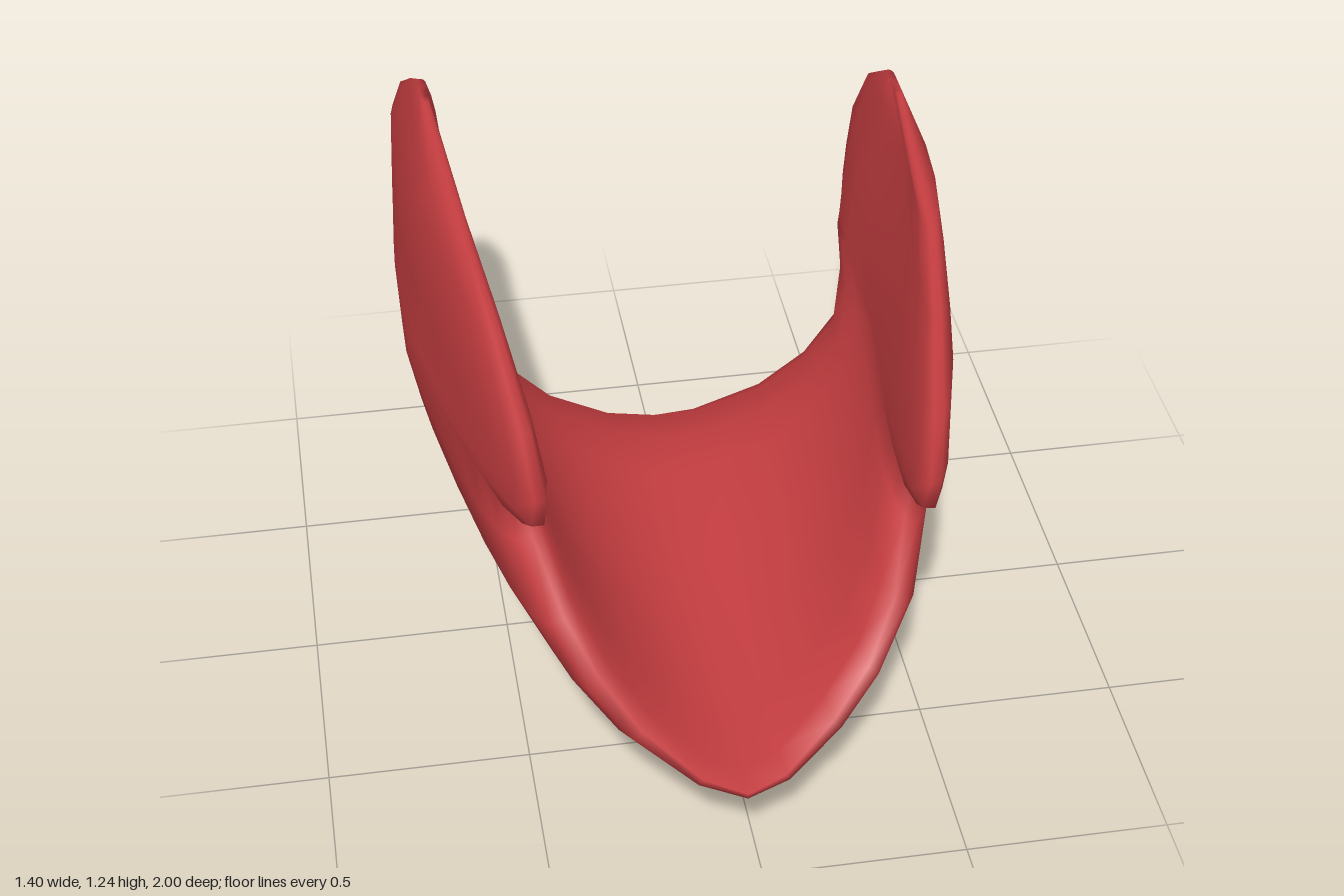
import * as THREE from 'three';

// piecewise-linear lookup in a short list of [key, value] pairs
function lookup(points, k) {
  if (k <= points[0][0]) return points[0][1];
  for (let i = 1; i < points.length; i++) {
    const [k0, v0] = points[i - 1], [k1, v1] = points[i];
    if (k <= k1) return v0 + (v1 - v0) * (k - k0) / (k1 - k0);
  }
  return points[points.length - 1][1];
}

// strips of half the shell, keel to wing top: outer x, y, inner x, y, back z, front z
const STRIPS = [
  [0.00, 0.01, 0.00, 0.24, -0.61, 1.00],
  [0.18, 0.05, 0.12, 0.25, -0.62, 0.95],
  [0.40, 0.17, 0.28, 0.33, -0.60, 0.84],
  [0.54, 0.30, 0.39, 0.44, -0.59, 0.76],
  [0.64, 0.44, 0.47, 0.55, -0.62, 0.64],
  [0.68, 0.58, 0.51, 0.65, -0.75, 0.45],
  [0.69, 0.68, 0.525, 0.70, -0.88, 0.27],
  [0.69, 0.715, 0.53, 0.73, -0.92, 0.52],
  [0.69, 0.77, 0.535, 0.78, -0.95, 0.60],
  [0.69, 0.86, 0.545, 0.86, -0.98, 0.62],
  [0.69, 0.97, 0.56, 0.96, -1.00, 0.50],
  [0.67, 1.07, 0.58, 1.07, -0.94, 0.26],
  [0.65, 1.15, 0.59, 1.14, -0.82, -0.03],
  [0.63, 1.19, 0.61, 1.19, -0.74, -0.62],
];
// position along a strip, share of the full thickness there, and pull towards the inner face
const STATIONS = [
  [0, 0.4, 0.25], [0.035, 0.7, 0.25], [0.1, 0.9, 0.35], [0.2, 1, 0.5], [0.3, 1, 0.5], [0.5, 1, 0.5],
  [0.7, 1, 0.5], [0.85, 0.9, 0.5], [0.95, 0.65, 0.5], [1, 0.25, 0.5],
];
// narrowing towards the front, and rise of the outer and inner floor
const WIDTH = [[-0.35, 1], [0.1, 0.89], [0.5, 0.78], [0.8, 0.71], [1, 0.68]];
const OUTER_LIFT = [[-0.6, 0.03], [-0.1, -0.015], [0.2, 0.05], [0.5, 0.09], [0.8, 0.13], [1, 0.23]];
const INNER_LIFT = [[-0.6, 0.01], [-0.45, 0.08], [-0.25, 0.12], [0, 0.1], [0.5, 0.05], [1, 0.05]];
const ROLL = 0.075;

// closed ring around one strip: outer face back to front, inner face front to back
function strip([ox, oy, ix, iy, back, front], side) {
  const outer = [], inner = [];
  for (const [t, thick, pull] of STATIONS) {
    const z = back + (front - back) * t;
    const w = lookup(WIDTH, z);
    const low = Math.max(0, 1 - oy / 0.65);
    const o = new THREE.Vector2(ox * w, oy + lookup(OUTER_LIFT, z) * low);
    const n = new THREE.Vector2(ix * w, iy + lookup(INNER_LIFT, z) * low);
    const core = o.clone().lerp(n, pull);
    const place = (p) => {
      p.lerp(core, 1 - thick);
      const x = p.x * side;
      return [x + ROLL * (p.y - 0.77), p.y - ROLL * x, z]; // slight roll to one side
    };
    outer.push(place(o));
    inner.unshift(place(n));
  }
  return [...outer, ...inner];
}

function shellGeometry() {
  const rings = [];
  for (let i = STRIPS.length - 1; i > 0; i--) rings.push(strip(STRIPS[i], -1));
  for (const s of STRIPS) rings.push(strip(s, 1));
  const n = rings[0].length;
  const positions = rings.flat(2);
  const index = [];
  for (let i = 0; i < rings.length - 1; i++) {
    for (let j = 0; j < n; j++) {
      const a = i * n + j, c = i * n + (j + 1) % n;
      index.push(a, a + n, c, c, a + n, c + n);
    }
  }
  // close the narrow wing tops
  const last = (rings.length - 1) * n;
  for (let j = 0; j < n / 2 - 1; j++) {
    const k = n - 1 - j;
    index.push(j, j + 1, k, j + 1, k - 1, k);
    index.push(last + j, last + k, last + j + 1, last + j + 1, last + k, last + k - 1);
  }
  const geometry = new THREE.BufferGeometry();
  geometry.setAttribute('position', new THREE.Float32BufferAttribute(positions, 3));
  geometry.setIndex(index);
  geometry.computeVertexNormals();
  return geometry;
}

export function createModel() {
  const red = new THREE.MeshStandardMaterial({ color: 0xc43d40 });
  red.name = 'red';
  const group = new THREE.Group();
  group.name = 'curvedGuard';
  const shell = new THREE.Mesh(shellGeometry(), red);
  shell.name = 'wingedShell';
  group.add(shell);
  return group;
}
